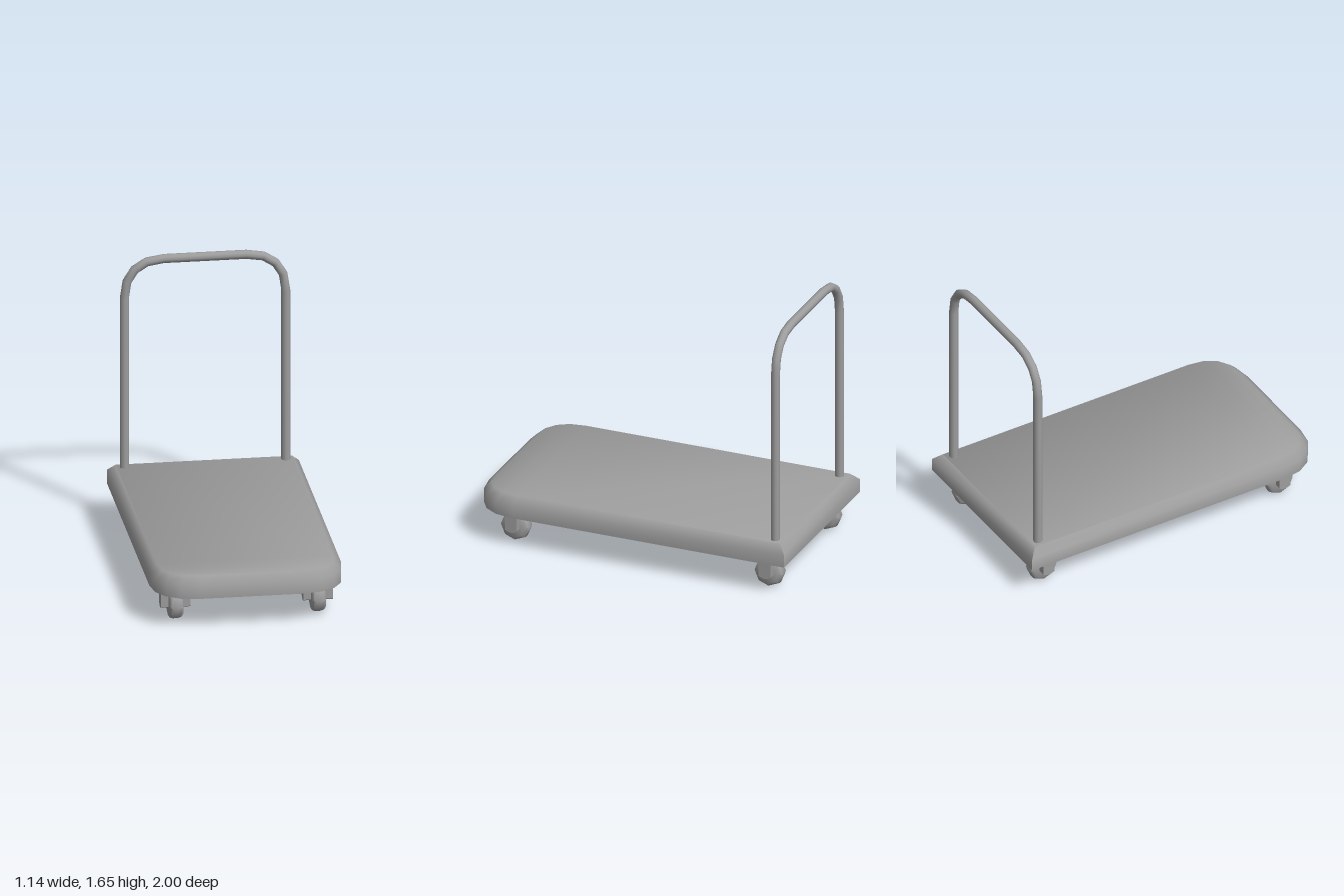
import * as THREE from 'three';
import { toCreasedNormals } from 'three/addons/utils/BufferGeometryUtils.js';

const grey = new THREE.MeshStandardMaterial({ color: 0x9d9d9d });

function add(parent, name, geometry) {
  const mesh = new THREE.Mesh(geometry, grey);
  mesh.name = name;
  parent.add(mesh);
  return mesh;
}

// Slightly squared quarter turn in four steps, from (-1, 0) to (0, 1)
const corner = [0, 1, 2, 3, 4].map((i) => {
  const a = (i / 4) * Math.PI / 2;
  return [-Math.pow(Math.max(Math.cos(a), 0), 0.87), Math.pow(Math.sin(a), 0.87)];
});

// Deck outline: square at the back, rounded at the front, shrunk by an inset
function deckRing(y, inset) {
  const radius = 0.27 - inset;
  const half = [
    [-0.57 + inset, y, -1 + inset],
    ...corner.map(([u, v]) => [-0.3 + radius * u, y, 0.73 + radius * v]),
  ];
  return [...half, ...half.map(([x, py, z]) => [-x, py, z]).reverse()];
}

// Deck: three stacked rings with strips across the top and the underside
function deckGeometry() {
  const rings = [deckRing(0.2, 0), deckRing(0.282, 0), deckRing(0.328, 0.046)];
  const n = rings[0].length;
  const index = [];
  for (let r = 0; r < 2; r++) {
    for (let i = 0; i < n; i++) {
      const a = r * n + i, b = r * n + (i + 1) % n;
      index.push(a, b, b + n, a, b + n, a + n);
    }
  }
  const top = 2 * n;
  for (let i = 0; i < n / 2 - 1; i++) {
    const a = i, b = i + 1, c = n - 2 - i, d = n - 1 - i;
    index.push(top + a, top + b, top + c, top + a, top + c, top + d);
    index.push(a, c, b, a, d, c);
  }
  const geometry = new THREE.BufferGeometry();
  geometry.setAttribute('position', new THREE.Float32BufferAttribute(rings.flat(2), 3));
  geometry.setIndex(index);
  return toCreasedNormals(geometry, 0.9);
}

// Straight-segment path with one tube ring per point
class Polyline extends THREE.Curve {
  constructor(points) {
    super();
    this.points = points;
  }
  getPoint(t, target = new THREE.Vector3()) {
    const last = this.points.length - 1;
    const i = Math.min(Math.floor(t * last + 1e-9), last - 1);
    return target.lerpVectors(this.points[i], this.points[i + 1], t * last - i);
  }
  getPointAt(t, target) { return this.getPoint(t, target); }
  getTangentAt(t, target) { return this.getTangent(t, target); }
}

// Push handle: two uprights joined by rounded corners
function handleGeometry() {
  const z = -0.907, radius = 0.234;
  const half = [
    new THREE.Vector3(-0.479, 0.31, z),
    ...corner.map(([u, v]) => new THREE.Vector3(-0.245 + radius * u, 1.39 + radius * v, z)),
  ];
  const points = [...half, ...half.map((p) => new THREE.Vector3(-p.x, p.y, z)).reverse()];
  return new THREE.TubeGeometry(new Polyline(points), points.length - 1, 0.027, 10);
}

// Caster wheel: eight-sided with flat sides and a chamfered tread, axle along x
function wheelGeometry() {
  const side = [[0, 0.042], [0.07, 0.042], [0.086, 0.031], [0.092, 0.014]];
  const profile = [
    ...side.map(([r, h]) => new THREE.Vector2(r, -h)),
    ...side.map(([r, h]) => new THREE.Vector2(r, h)).reverse(),
  ];
  return toCreasedNormals(new THREE.LatheGeometry(profile, 8).rotateZ(-Math.PI / 2), 0.85);
}

// Fork cheek: upright plate with a curved lower end, thick along x
function cheekGeometry() {
  const shape = new THREE.Shape();
  shape.moveTo(0.038, 0.205);
  shape.lineTo(-0.038, 0.205);
  shape.lineTo(-0.038, 0.088);
  shape.quadraticCurveTo(0, 0.06, 0.038, 0.088);
  shape.closePath();
  const plate = new THREE.ExtrudeGeometry(shape, { depth: 0.044, bevelEnabled: false, curveSegments: 6 });
  return toCreasedNormals(plate.translate(0, 0, -0.022).rotateY(Math.PI / 2), 0.8);
}

export function createModel() {
  const model = new THREE.Group();
  model.name = 'platformTrolley';
  add(model, 'deck', deckGeometry());
  add(model, 'handle', handleGeometry());

  // Four casters, each a wheel between two cheeks under a bridge
  const wheel = wheelGeometry();
  const cheek = cheekGeometry();
  const bridge = new THREE.BoxGeometry(0.176, 0.022, 0.076);
  for (const z of [0.77, -0.85]) {
    for (const side of [-1, 1]) {
      const caster = new THREE.Group();
      caster.name = (z > 0 ? 'front' : 'back') + (side > 0 ? 'Left' : 'Right') + 'Caster';
      caster.position.set(side * 0.423, 0, z);
      add(caster, 'wheel', wheel).position.y = 0.092;
      add(caster, 'forkBridge', bridge).position.y = 0.194;
      for (const s of [-1, 1]) add(caster, 'forkCheek', cheek).position.x = s * 0.066;
      model.add(caster);
    }
  }
  return model;
}
